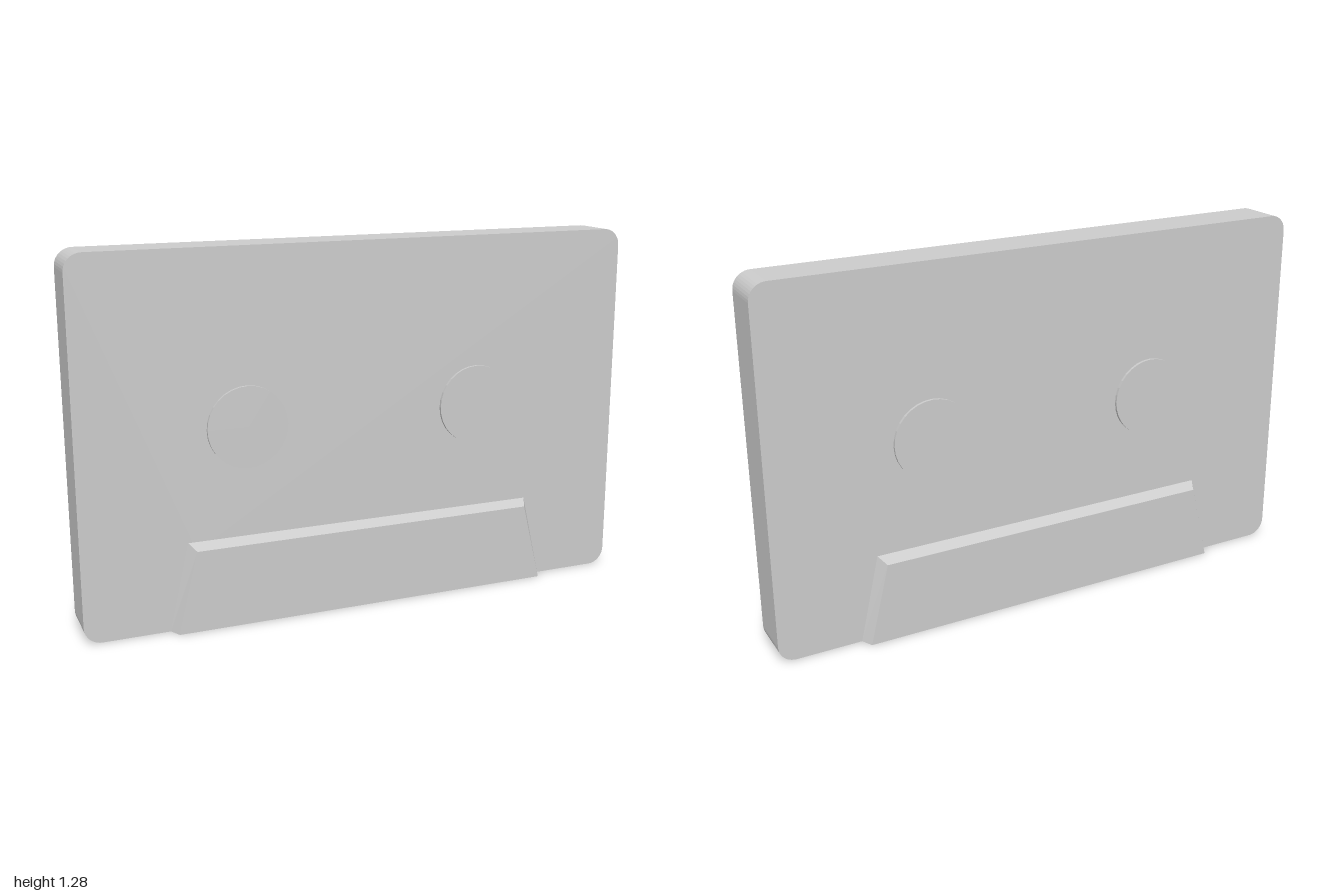
import * as THREE from 'three';

const W = 1, H = 1.285, D = 0.08;      // half width, height, half depth of the case
const HOOD = 0.12, WALL = 0.012;       // raised section: half depth, face thickness
const INNER = [[-0.675, 0], [-0.61, 0.27], [0.61, 0.27], [0.675, 0]];
const OUTER = [[-0.71, 0], [-0.64, 0.305], [0.64, 0.305], [0.71, 0]];

const material = new THREE.MeshStandardMaterial({ color: 0xcccccc, flatShading: true });

function add(parent, name, geometry, x = 0, y = 0, z = 0) {
  const mesh = new THREE.Mesh(geometry, material);
  mesh.name = name;
  mesh.position.set(x, y, z);
  parent.add(mesh);
  return mesh;
}

const extrude = (shape, depth) =>
  new THREE.ExtrudeGeometry(shape, { depth, bevelEnabled: false, curveSegments: 5 });

const polygon = (points) => new THREE.Shape(points.map(([x, y]) => new THREE.Vector2(x, y)));

// Rounded case outline with a tapered notch open at the bottom
function caseShape() {
  const r = 0.06, s = new THREE.Shape();
  s.moveTo(0.675, 0);
  s.lineTo(W - r, 0);
  s.absarc(W - r, r, r, -Math.PI / 2, 0);
  s.absarc(W - r, H - r, r, 0, Math.PI / 2);
  s.absarc(-W + r, H - r, r, Math.PI / 2, Math.PI);
  s.absarc(-W + r, r, r, Math.PI, Math.PI * 1.5);
  INNER.forEach(([x, y]) => s.lineTo(x, y));
  return s;
}

// Sloping rim: its outer corners move inwards on the raised side
function rimGeometry() {
  const g = extrude(polygon([...OUTER, ...[...INNER].reverse()]), HOOD - D);
  const p = g.attributes.position;
  for (let i = 0; i < p.count; i++) {
    const x = p.getX(i), y = p.getY(i);
    const isOuter = OUTER.some(([a, b]) => Math.hypot(a - x, b - y) < 1e-4);
    if (isOuter && p.getZ(i) > 0.01) {
      p.setX(i, x - Math.sign(x) * 0.02);
      if (y > 0.1) p.setY(i, y - 0.02);
    }
  }
  g.computeVertexNormals();
  return g;
}

export function createModel() {
  const model = new THREE.Group();
  model.name = 'cassette';

  add(model, 'caseBody', extrude(caseShape(), 2 * D), 0, 0, -D);

  // Raised tapered section on the front and back
  const rim = rimGeometry();
  const plate = extrude(polygon(INNER), WALL);
  for (const side of ['front', 'back']) {
    const hood = new THREE.Group();
    hood.name = side + 'RaisedSection';
    add(hood, 'slopingRim', rim, 0, 0, D);
    add(hood, 'facePlate', plate, 0, 0, HOOD - WALL);
    if (side === 'back') hood.rotation.y = Math.PI;
    model.add(hood);
  }

  // Dividers that split the open underside into pockets
  add(model, 'centreDivider', extrude(polygon(INNER), 0.05), 0, 0, -0.025);
  const rib = new THREE.BoxGeometry(0.08, 0.27, 2 * (HOOD - WALL));
  for (const x of [-0.36, -0.23, 0.23, 0.36]) add(model, 'crossRib', rib, x, 0.135, 0);

  // Reel hubs, standing slightly proud of both faces
  const hub = new THREE.CylinderGeometry(0.14, 0.14, 0.18, 32).rotateX(Math.PI / 2);
  for (const x of [-0.425, 0.425]) add(model, 'reelHub', hub, x, 0.685, 0);

  return model;
}
